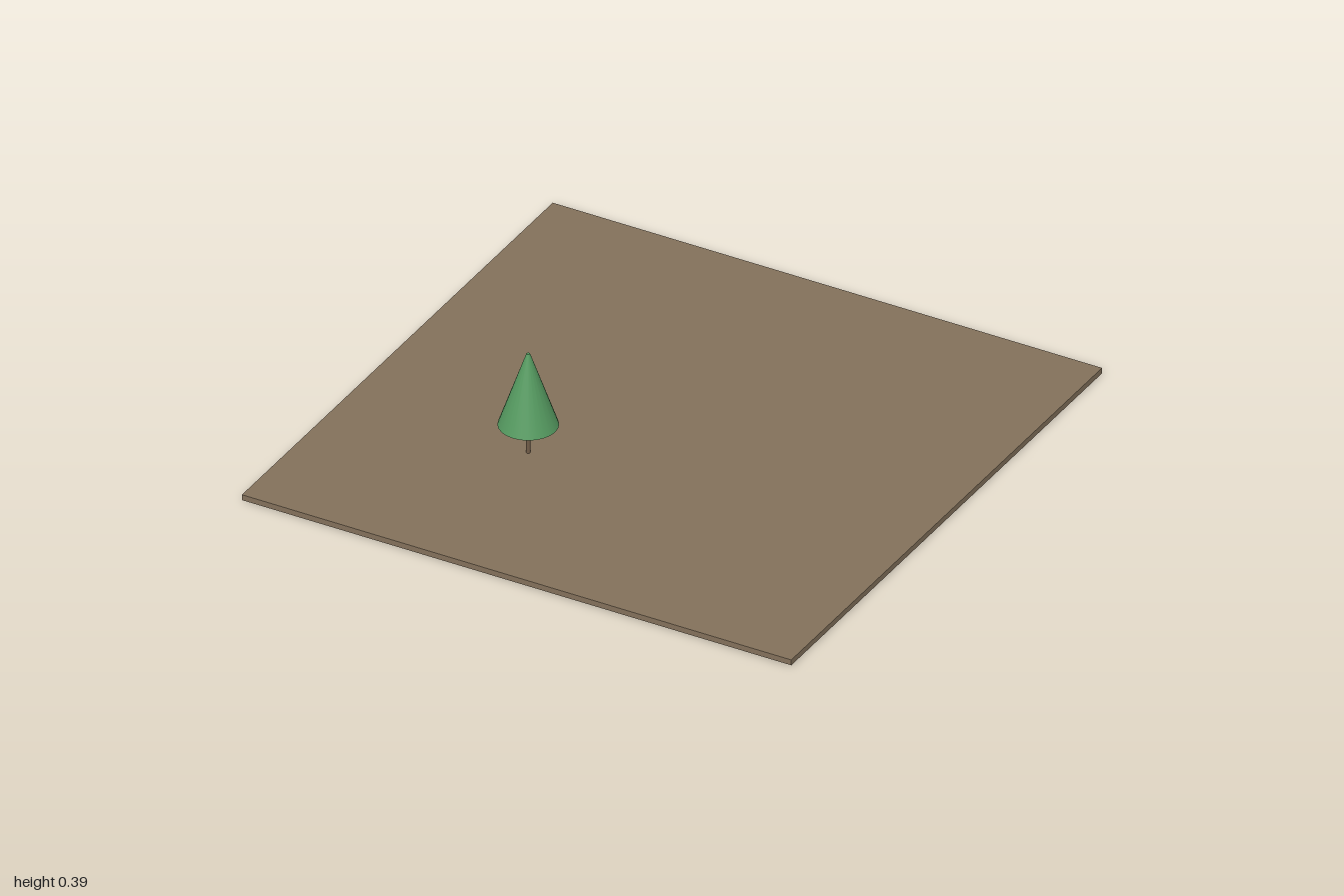
import * as THREE from 'three';

const flat = (name, color) => {
  const material = new THREE.MeshStandardMaterial({ color });
  material.name = name;
  return material;
};

export function createModel() {
  const soil = flat('soil brown', 0x82705a);
  const bark = flat('bark brown', 0x705c48);
  const needles = flat('needle green', 0x559a60);

  const model = new THREE.Group();
  model.name = 'treeOnGround';

  const add = (parent, name, geometry, material, y) => {
    const mesh = new THREE.Mesh(geometry, material);
    mesh.name = name;
    mesh.position.y = y;
    parent.add(mesh);
  };

  // Square ground slab
  add(model, 'ground', new THREE.BoxGeometry(2, 0.02, 2), soil, 0.01);

  // Conifer: thin trunk and a cone with a slightly blunt tip
  const tree = new THREE.Group();
  tree.name = 'tree';
  tree.position.set(-0.335, 0.02, 0.333);
  add(tree, 'trunk', new THREE.CylinderGeometry(0.007, 0.007, 0.12, 16), bark, 0.06);
  add(tree, 'foliage', new THREE.CylinderGeometry(0.006, 0.098, 0.264, 24), needles, 0.237);
  model.add(tree);

  return model;
}
